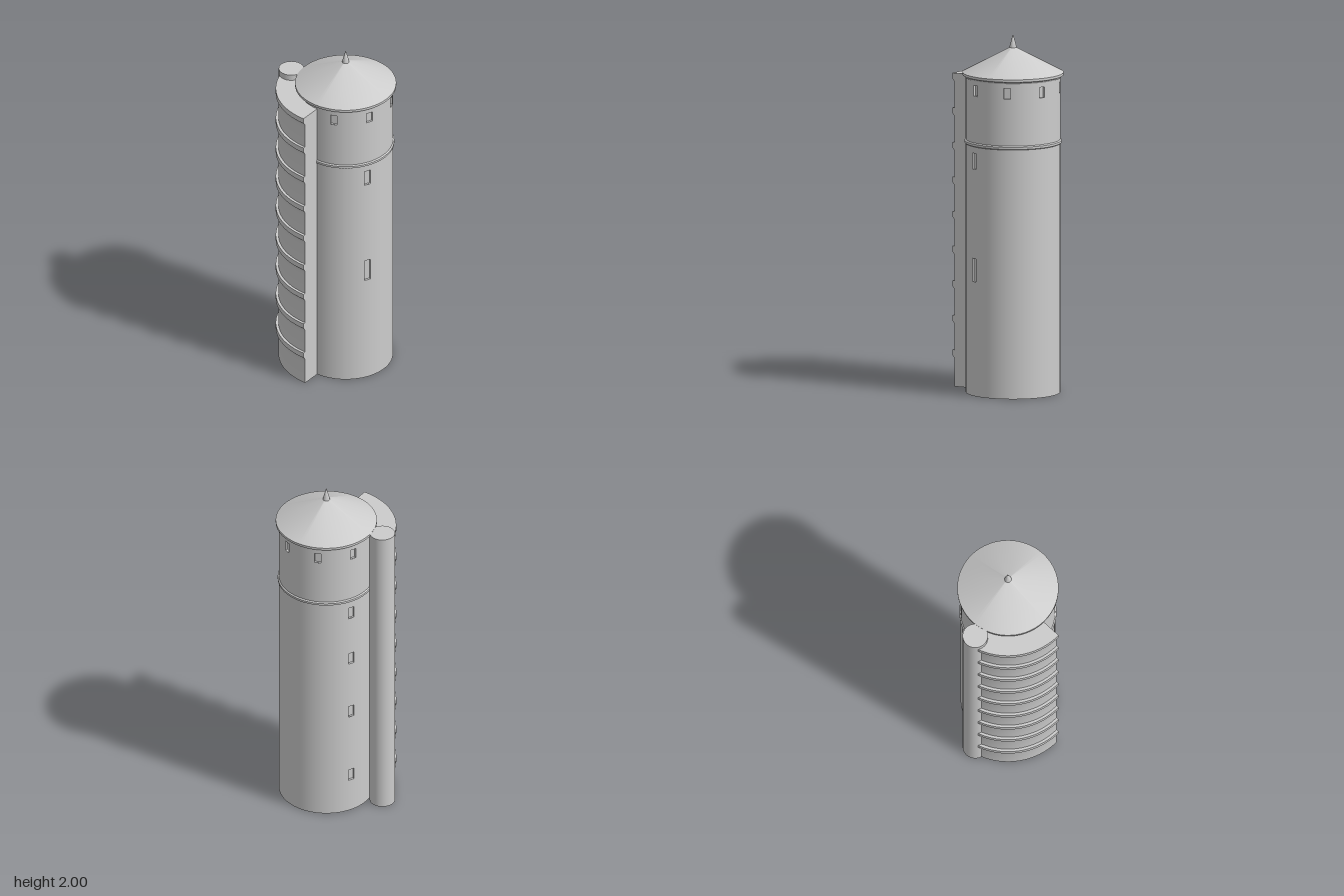
import * as THREE from 'three';
import { toCreasedNormals } from 'three/addons/utils/BufferGeometryUtils.js';

const R = 0.262;            // tower radius
const CX = 0.052;           // tower axis
const HALF = 0.0707;        // half angle of a window
const DEPTH = 0.012;        // window recess
const rad = THREE.MathUtils.degToRad;

export function createModel() {
  const model = new THREE.Group();
  model.name = 'tower';
  const stone = new THREE.MeshStandardMaterial({ color: 0xcccccc });
  stone.name = 'pale grey stone';

  const add = (name, geometry, parent = model) => {
    const mesh = new THREE.Mesh(geometry, stone);
    mesh.name = name;
    parent.add(mesh);
    return mesh;
  };
  const lathe = (points, segments = 96, start = 0, length = Math.PI * 2) =>
    toCreasedNormals(new THREE.LatheGeometry(
      points.map(([x, y]) => new THREE.Vector2(x, y)), segments, start, length), 0.45);

  // Main axis group
  const tower = new THREE.Group();
  tower.name = 'mainTower';
  tower.position.x = CX;
  model.add(tower);

  // Curved piece of wall between two angles and two heights
  const arc = (name, a, b, y0, y1) => {
    const n = Math.max(2, Math.ceil((b - a) / 0.065));
    const g = new THREE.CylinderGeometry(R, R, y1 - y0, n, 1, true, a, b - a);
    add(name, g.translate(0, (y0 + y1) / 2, 0), tower);
  };

  // Recessed window: a box turned inside out, without its outer face
  const niche = (phi, y0, y1) => {
    const g = new THREE.BoxGeometry(2 * R * Math.sin(HALF), y1 - y0, DEPTH);
    const index = Array.from(g.index.array);
    index.splice(24, 6);
    g.setIndex(index);
    g.clearGroups();
    g.scale(-1, 1, 1);
    g.computeVertexNormals();
    g.translate(0, (y0 + y1) / 2, R * Math.cos(HALF) - DEPTH / 2);
    add('windowRecess', g.rotateY(phi), tower);
  };

  // Round wall with columns of windows: [angle, [[bottom, top], ...]]
  const wall = (name, y0, y1, columns) => {
    columns.forEach(([deg, openings], i) => {
      const phi = rad(deg);
      const next = i + 1 < columns.length ? rad(columns[i + 1][0]) : rad(columns[0][0] + 360);
      arc(name, phi + HALF, next - HALF, y0, y1);
      let y = y0;
      for (const [bottom, top] of openings) {
        arc(name, phi - HALF, phi + HALF, y, bottom);
        niche(phi, bottom, top);
        y = top;
      }
      arc(name, phi - HALF, phi + HALF, y, y1);
    });
  };

  wall('lowerWall', 0, 1.405, [
    [19.8, [[0.64, 0.77], [1.27, 1.36]]],
    [199.8, [[0.2, 0.27], [0.625, 0.695], [0.98, 1.05], [1.285, 1.355]]],
  ]);
  const upper = [-22.5, 22.5, 67.5, 112.5, 157.5, 202.5];
  wall('upperWall', 1.405, 1.775, upper.map((deg) => [deg, [[1.68, 1.74]]]));
  add('base', new THREE.CircleGeometry(R, 96).rotateX(Math.PI / 2), tower);

  // String course between the two walls
  add('stringCourse', lathe([[0.26, 1.394], [0.269, 1.4], [0.269, 1.412], [0.26, 1.42]]), tower);

  // Roof with eaves, and finial
  add('roof', lathe([[0.255, 1.765], [0.266, 1.765], [0.271, 1.774], [0.28, 1.778],
    [0.28, 1.792], [0.015, 1.932]]), tower);
  add('finial', lathe([[0.0, 1.922], [0.02, 1.927], [0.018, 1.94], [0.003, 1.996], [0, 2]], 32), tower);

  // Stair bay: a ring sector with nine moulded ledges
  const profile = [[0.25, 0], [0.372, 0]];
  for (let i = 0; i < 9; i++) {
    const top = 0.205 + i * 0.1938;
    profile.push([0.372, top - 0.06], [0.375, top - 0.047], [0.38, top - 0.037],
      [0.387, top - 0.031], [0.387, top]);
    if (i < 8) profile.push([0.372, top]);
  }
  profile.push([0.25, profile.at(-1)[1]]);
  const start = rad(-124), end = rad(-45);
  add('stairBay', lathe(profile, 40, start, end - start), tower);
  const face = new THREE.Shape(profile.map(([r, y]) => new THREE.Vector2(-r, y)));
  add('stairBayEnd', new THREE.ShapeGeometry(face).rotateY(end + Math.PI / 2), tower);

  // Slim round turret at the back of the bay
  add('turret', new THREE.CylinderGeometry(0.07, 0.07, 1.79, 48).translate(-0.225, 0.895, -0.188));

  return model;
}
